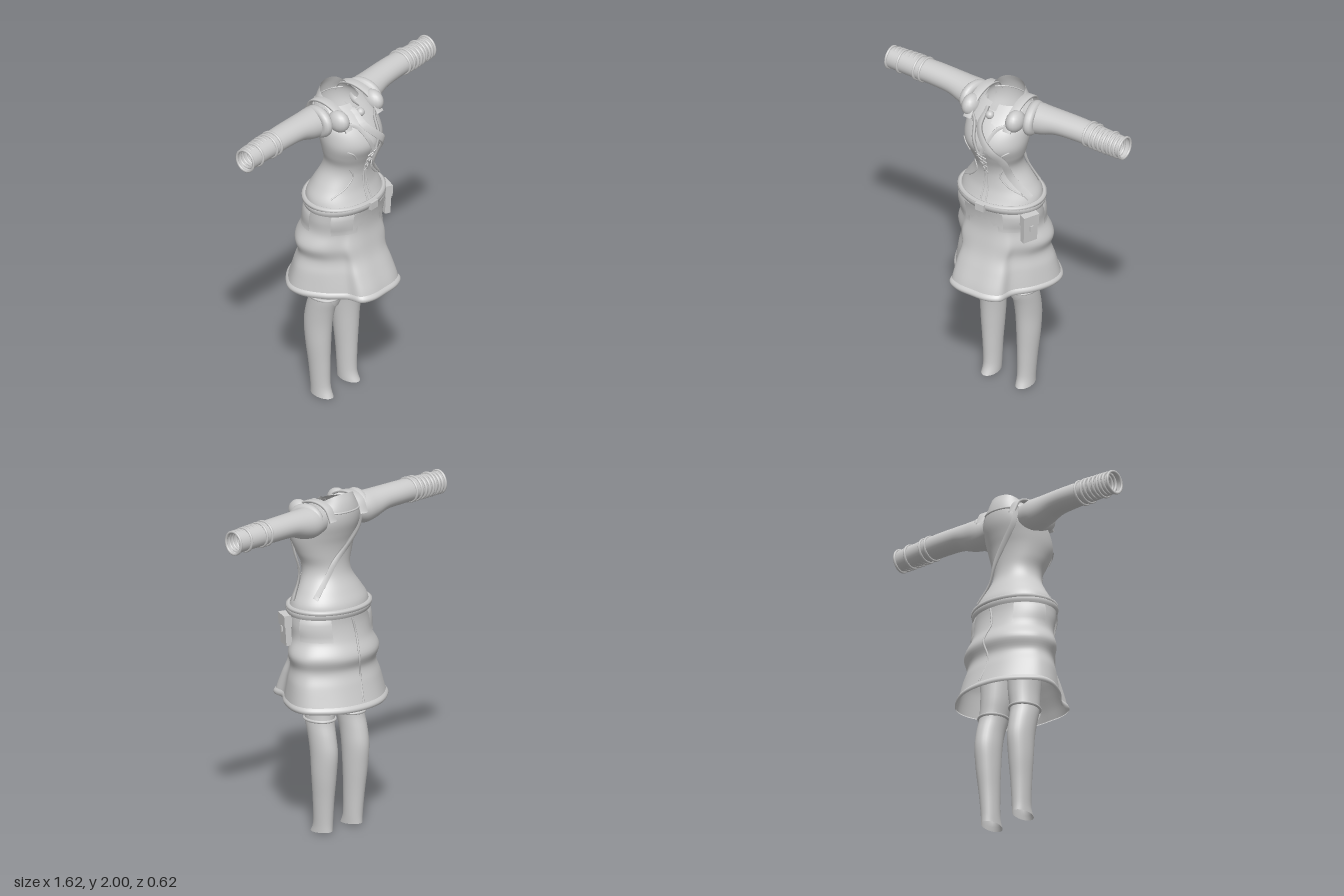
import * as THREE from 'three';

const cloth = new THREE.MeshStandardMaterial({ color: 0xcccccc, side: THREE.DoubleSide });
cloth.name = 'light grey cloth';

// Smooth interpolation of a table whose first column is the key
function sample(rows, k) {
  const n = rows.length;
  k = Math.min(Math.max(k, rows[0][0]), rows[n - 1][0]);
  let i = 0;
  while (i < n - 2 && k > rows[i + 1][0]) i++;
  const a = rows[i], b = rows[i + 1], p = rows[Math.max(i - 1, 0)], q = rows[Math.min(i + 2, n - 1)];
  const h = b[0] - a[0], t = (k - a[0]) / h, t2 = t * t, t3 = t2 * t;
  return a.map((v, c) => {
    const m0 = (b[c] - p[c]) / (b[0] - p[0]) * h, m1 = (q[c] - v) / (q[0] - a[0]) * h;
    return (2 * t3 - 3 * t2 + 1) * v + (t3 - 2 * t2 + t) * m0 + (3 * t2 - 2 * t3) * b[c] + (t3 - t2) * m1;
  });
}

// Surface from fn(u, v) => [x, y, z]; closed joins u = 1 to u = 0
function surface(nu, nv, closed, fn) {
  const pos = [], idx = [], cols = closed ? nu : nu + 1;
  for (let j = 0; j <= nv; j++) for (let i = 0; i < cols; i++) pos.push(...fn(i / nu, j / nv));
  for (let j = 0; j < nv; j++) for (let i = 0; i < nu; i++) {
    const a = j * cols + i, b = j * cols + (i + 1) % cols;
    idx.push(a, b, a + cols, b, b + cols, a + cols);
  }
  const g = new THREE.BufferGeometry();
  g.setAttribute('position', new THREE.Float32BufferAttribute(pos, 3));
  g.setIndex(idx);
  g.computeVertexNormals();
  return g;
}

// Torso: y, half width, front z, back z
const TORSO = [
  [1.31, 0.25, 0.2, -0.2], [1.36, 0.238, 0.175, -0.19], [1.42, 0.2, 0.155, -0.16], [1.5, 0.15, 0.15, -0.12],
  [1.56, 0.142, 0.163, -0.108], [1.63, 0.167, 0.193, -0.11], [1.7, 0.187, 0.222, -0.122], [1.76, 0.193, 0.212, -0.142],
  [1.83, 0.19, 0.168, -0.165], [1.89, 0.165, 0.105, -0.17], [1.95, 0.112, 0.02, -0.16], [2, 0.085, -0.03, -0.14],
];
function torsoAt(a, y, off = 0) {
  const [, w, f, b] = sample(TORSO, y);
  return [(w + off) * Math.sin(a), y, (f + b) / 2 + ((f - b) / 2 + off) * Math.cos(a)];
}

// Skirt: y, half width, front z, back z, share of the folded hem outline
const SKIRT = [
  [0.76, 0.325, 0.305, -0.305, 1], [0.82, 0.315, 0.285, -0.285, 0.95], [0.9, 0.3, 0.25, -0.26, 0.85],
  [0.98, 0.278, 0.215, -0.237, 0.7], [1.06, 0.297, 0.195, -0.258, 0.5], [1.15, 0.258, 0.18, -0.22, 0.2],
  [1.24, 0.258, 0.185, -0.2, 0], [1.33, 0.255, 0.205, -0.2, 0],
];
const half = [[0.1, 0.3], [0.168, 0.265], [0.188, 0.18], [0.265, 0.08], [0.32, -0.05], [0.312, -0.14], [0.235, -0.225], [0.13, -0.285]];
const hem = new THREE.CatmullRomCurve3(
  [[0, 0.305], ...half, [0, -0.305], ...half.slice().reverse().map(([x, z]) => [-x, z])]
    .map(([x, z]) => new THREE.Vector3(x / 0.325, 0, z / 0.305)), true);
function skirtAt(u, y, off = 0) {
  const p = hem.getPoint(((u % 1) + 1) % 1), a = Math.atan2(p.x, p.z);
  const [, w, f, b, k] = sample(SKIRT, y);
  const x = THREE.MathUtils.lerp(Math.sin(a), p.x, k), z = THREE.MathUtils.lerp(Math.cos(a), p.z, k);
  return [(w + off) * x, y, z * (z > 0 ? f + off : off - b)];
}

export function createModel() {
  const model = new THREE.Group();
  const add = (name, geo, parent = model) => {
    const m = new THREE.Mesh(geo, cloth);
    m.name = name;
    parent.add(m);
    return m;
  };
  const curve = (pts, closed = false) => new THREE.CatmullRomCurve3(pts.map(p => new THREE.Vector3(...p)), closed);
  const cord = (name, pts, r, closed = false, parent = model) =>
    add(name, new THREE.TubeGeometry(curve(pts, closed), closed ? 72 : 24, r, 6, closed), parent);
  // Flat strap lying on the body along a path, facing away from the axis through centre
  const strap = (name, pts, width, centre, parent = model) => {
    const c = curve(pts), mid = new THREE.Vector3(...centre);
    return add(name, surface(4, 28, true, (u, v) => {
      const p = c.getPoint(v), t = c.getTangent(v), n = p.clone().sub(mid);
      if (centre[3]) n.y = 0;
      n.addScaledVector(t, -n.dot(t)).normalize();
      const s = new THREE.Vector3().crossVectors(t, n);
      const k = Math.round(u * 4);
      return p.addScaledVector(s, (k === 0 || k === 3 ? -1 : 1) * width / 2).addScaledVector(n, k < 2 ? 0.006 : -0.006).toArray();
    }), parent);
  };

  // Fitted bodice, with a collar high at the back and low at the front
  add('bodice', surface(56, 48, true, (u, v) => {
    const a = u * Math.PI * 2, top = 2 - 0.1 * Math.pow((1 + Math.cos(a)) / 2, 1.5);
    return torsoAt(a, 1.31 + v * (top - 1.31));
  }));
  const ring = (fn, n = 36) => Array.from({ length: n }, (_, i) => fn(i / n));
  cord('bodiceRim', ring(u => torsoAt(u * 2 * Math.PI, 1.325, 0.006)), 0.016, true);
  cord('backNeckEdge', [2.2, 2.7, Math.PI, 3.58, 4.08].map(a => torsoAt(a, 1.9, 0.003)), 0.006);

  // Neckline panels, collar points, seams and lacing
  for (const s of [-1, 1]) {
    strap('neckline', [[0.95, 1.83], [0.6, 1.85], [0.38, 1.83], [0.22, 1.76], [0.05, 1.68]].map(([a, y]) => torsoAt(s * a, y, 0.008)), 0.02, [0, 1.78, 0]);
    add('collarPoint', surface(6, 6, false, (u, v) => {
      const a = s * (0.15 + u * 1.15), low = 1.83 + 0.07 * Math.abs(u - 0.4);
      return torsoAt(a, 1.93 - v * (1.93 - low), 0.012);
    }));
    cord('bustSeam', [[0.95, 1.7], [0.75, 1.68], [0.6, 1.64]].map(([a, y]) => torsoAt(s * a, y, 0.002)), 0.005);
    cord('waistSeam', [[1.1, 1.38], [0.7, 1.44], [0.55, 1.5], [0.75, 1.55]].map(([a, y]) => torsoAt(s * a, y, 0.001)), 0.005);
    cord('placketEdge', [1.34, 1.43, 1.52, 1.6, 1.68].map(y => torsoAt(s * 0.07, y, 0.002)), 0.005);
    for (let i = 0; i < 4; i++) {
      const y = 1.52 + i * 0.04, w = 0.08 + i * 0.03;
      cord('lacing', [torsoAt(-s * w, y, 0.006), torsoAt(0, y + 0.02, 0.008), torsoAt(s * w, y + 0.04, 0.006)], 0.004);
    }
  }
  add('neckBrooch', new THREE.SphereGeometry(0.025, 14, 10)).position.set(...torsoAt(0, 1.885, 0.008));
  const buckle = add('waistBuckle', new THREE.BoxGeometry(0.06, 0.045, 0.02));
  buckle.position.set(0, 1.31, 0.215);

  // Diagonal sash across the front and back
  const drape = list => list.map(([a, y]) => torsoAt(a, y, 0.012));
  strap('frontSash', drape([[-0.25, 1.91], [-0.15, 1.83], [0.1, 1.77], [0.4, 1.71], [0.75, 1.62], [0.95, 1.5], [1.25, 1.37]]), 0.04, [0, 1.6, 0, 1]);
  strap('backSash', drape([[4, 1.9], [3.7, 1.8], [3.3, 1.7], [2.8, 1.6], [2.4, 1.5], [2.1, 1.4]]), 0.03, [0, 1.6, 0, 1]);

  // Sleeve: x, centre y, centre z, half height, half depth
  const SLEEVE = [
    [0.13, 1.855, -0.05, 0.075, 0.08], [0.2, 1.852, -0.05, 0.09, 0.095], [0.27, 1.857, -0.052, 0.085, 0.09],
    [0.36, 1.872, -0.056, 0.07, 0.08], [0.48, 1.875, -0.06, 0.067, 0.075], [0.6, 1.873, -0.06, 0.066, 0.07],
    [0.81, 1.868, -0.06, 0.063, 0.058],
  ];
  for (const s of [-1, 1]) {
    const arm = new THREE.Group();
    arm.name = s > 0 ? 'leftArm' : 'rightArm';
    model.add(arm);
    const at = (a, x, off = 0) => {
      const [, cy, cz, h, d] = sample(SLEEVE, x);
      return [s * x, cy + (h + off) * Math.cos(a), cz + (d + off) * Math.sin(a)];
    };
    add('sleeve', surface(28, 30, true, (u, v) => at(u * 2 * Math.PI, 0.13 + v * 0.675)), arm);
    // Wrapped cuff bands; the inner ribs rise on one side only
    [0.565, 0.605, 0.72, 0.8].forEach(x => cord('cuffBand', ring(u => at(u * 2 * Math.PI, x, 0.002), 20), 0.008, true, arm));
    [0.635, 0.665, 0.695, 0.745, 0.77].forEach(x => cord('cuffRib',
      ring(u => at(u * 2 * Math.PI, x, -0.005 + 0.011 * s * Math.sin(u * 2 * Math.PI)), 20), 0.009, true, arm));
    // Gathered shoulder puff
    const puff = add('shoulderPuff', new THREE.TorusGeometry(0.075, 0.03, 12, 32), arm);
    puff.rotation.set(0, Math.PI / 2 + s * 0.2, s * 0.15);
    puff.position.set(s * 0.2, 1.862, -0.025);
    puff.scale.set(1.1, 0.9, 1);
    const ruffle = add('shoulderRuffle', new THREE.SphereGeometry(1, 18, 12), arm);
    ruffle.scale.set(0.05, 0.065, 0.07);
    ruffle.position.set(s * 0.15, 1.88, 0.085);
    strap('shoulderStrap', [[s * 0.135, 1.83, 0.15], [s * 0.135, 1.92, 0.08], [s * 0.13, 1.957, -0.03],
      [s * 0.125, 1.935, -0.12], [s * 0.12, 1.86, -0.163]], 0.05, [s * 0.13, 1.84, -0.02], arm);
  }

  // Flared skirt with folds, waistband and hem band
  add('skirt', surface(96, 40, true, (u, v) => skirtAt(u, 1.33 - v * 0.57)));
  add('waistband', surface(72, 6, true, (u, v) => skirtAt(u, 1.335 - v * 0.05, 0.004 + 0.008 * Math.sin(v * Math.PI))));
  add('hemBand', surface(96, 6, true, (u, v) => skirtAt(u, 0.792 - v * 0.037, 0.001 + 0.009 * Math.sin(v * Math.PI))));
  cord('backSeam', [1.28, 1.18, 1.06, 0.95, 0.8].map((y, i) => skirtAt(0.5 + (i % 2 ? 0.006 : -0.004), y, 0.002)), 0.006);

  // Hip panels and ragged front yoke
  for (const s of [-1, 1]) {
    for (const [u0, u1] of [[0.07, 0.2], [0.28, 0.42]]) {
      add('hipPanel', surface(16, 8, false, (u, v) =>
        skirtAt(s * (u0 + u * (u1 - u0)), 1.285 - v * 0.13, 0.001 + 0.012 * Math.sqrt(Math.sin(Math.PI * Math.min(v, 0.85))))));
    }
    add('frontYoke', surface(12, 4, false, (u, v) =>
      skirtAt(s * u * 0.1, 1.29 - v * (0.05 + 0.07 * u + 0.012 * Math.sin(u * 16)), 0.014)));
  }

  // Hanging pouch on the left hip
  const pouch = new THREE.Group();
  pouch.name = 'hipPouch';
  pouch.position.set(0.25, 1.2, 0.09);
  pouch.rotation.set(0, -0.4, -0.06);
  model.add(pouch);
  add('pouchBody', new THREE.BoxGeometry(0.035, 0.18, 0.09), pouch);
  add('pouchFlap', new THREE.BoxGeometry(0.045, 0.07, 0.1), pouch).position.y = 0.055;
  add('pouchClasp', new THREE.BoxGeometry(0.01, 0.035, 0.02), pouch).position.set(0.024, 0.005, 0);

  // Leg: y, centre x, half width, front z, back z
  const LEG = [
    [0, 0.117, 0.049, 0.01, -0.14], [0.05, 0.116, 0.049, -0.012, -0.139], [0.2, 0.119, 0.056, -0.015, -0.15],
    [0.35, 0.122, 0.066, -0.01, -0.168], [0.48, 0.122, 0.07, 0, -0.178], [0.58, 0.122, 0.072, 0.018, -0.162],
    [0.66, 0.117, 0.077, 0.042, -0.142], [0.76, 0.105, 0.085, 0.06, -0.14], [0.9, 0.1, 0.096, 0.08, -0.14],
  ];
  for (const s of [-1, 1]) {
    const leg = new THREE.Group();
    leg.name = s > 0 ? 'leftLeg' : 'rightLeg';
    model.add(leg);
    const at = (a, y, off = 0) => {
      const [, x, w, f, b] = sample(LEG, y);
      return [s * (x + (w + off) * Math.sin(a)), y, (f + b) / 2 + ((f - b) / 2 + off) * Math.cos(a)];
    };
    // The open ankle is cut slightly higher at the back
    add('stocking', surface(28, 36, true, (u, v) => {
      const a = u * 2 * Math.PI, low = 0.006 * (1 - Math.cos(a));
      return at(a, low + v * (0.9 - low));
    }), leg);
    cord('stockingCuff', ring(u => at(u * 2 * Math.PI, 0.672, 0.002), 24), 0.009, true, leg);
    add('kneeTab', surface(14, 6, false, (u, v) =>
      at((u - 0.5) * 1.1, 0.67 - v * 0.045 * Math.sin(Math.PI * u), 0.012)), leg);
  }
  return model;
}
